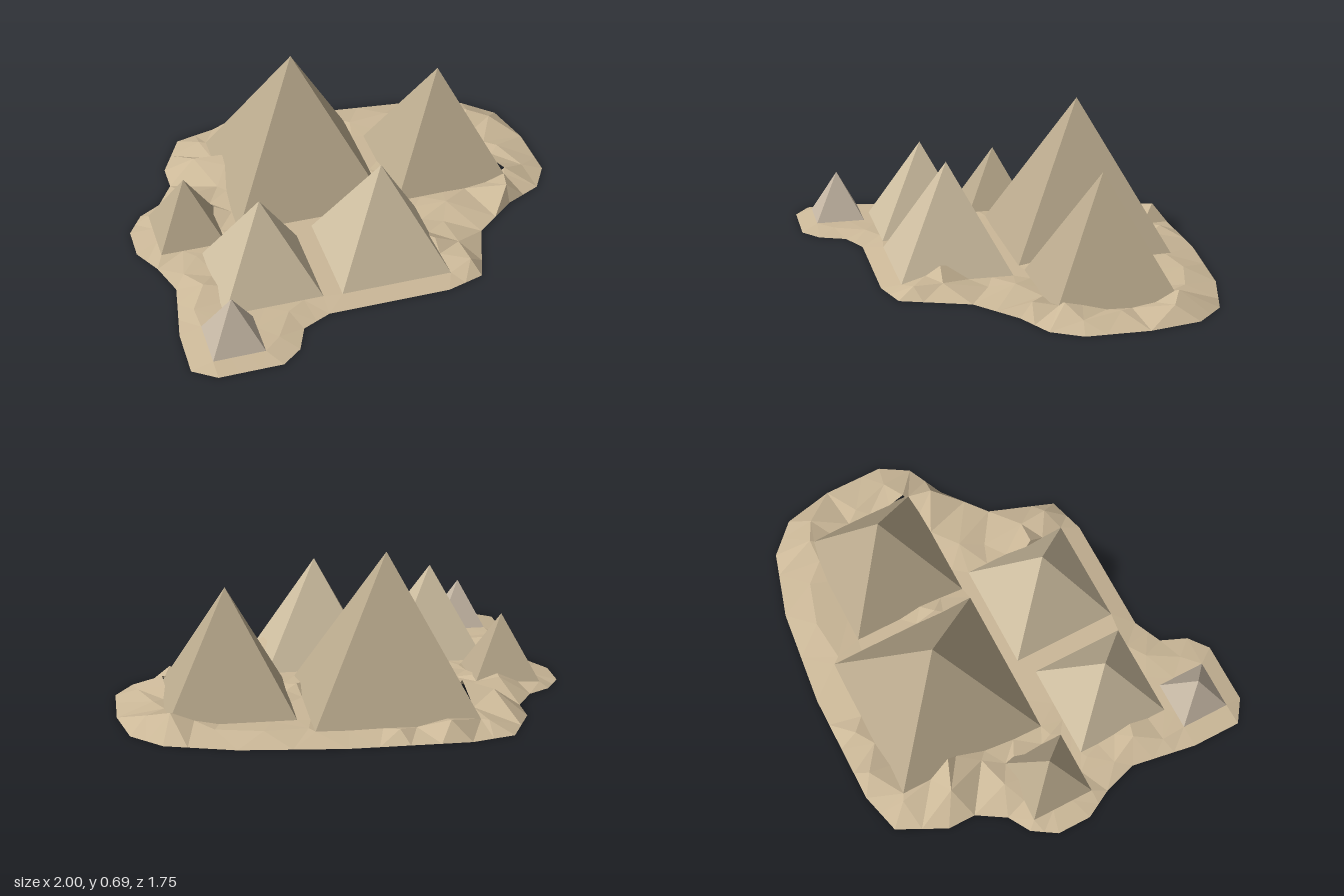
import * as THREE from 'three';

// Pyramids: x, z, half base width, height, colour
const PYRAMIDS = [
  { name: 'greatPyramid', x: -0.17, z: -0.375, half: 0.37, h: 0.69, color: 0xbbab8e },
  { name: 'secondPyramid', x: 0.52, z: -0.305, half: 0.287, h: 0.54, color: 0xbbab8e },
  { name: 'frontPyramid', x: 0.055, z: 0.285, half: 0.262, h: 0.49, color: 0xd0c0a2 },
  { name: 'frontLeftPyramid', x: -0.5, z: 0.305, half: 0.232, h: 0.43, color: 0xd0c0a2 },
  { name: 'sidePyramid', x: -0.75, z: -0.105, half: 0.16, h: 0.305, color: 0xbbab8e },
  { name: 'cornerPyramid', x: -0.72, z: 0.678, half: 0.125, h: 0.24, color: 0xc6b8a5 },
];

// Rim of the sand, x and z, all at ground level
const RIM = [
  [-0.45, -0.88], [0.07, -0.88], [0.52, -0.83], [0.82, -0.74], [0.95, -0.61], [1, -0.38], [1, -0.1],
  [0.92, 0.03], [0.75, 0.11], [0.55, 0.27], [0.44, 0.57], [0.27, 0.62], [-0.28, 0.62], [-0.41, 0.68],
  [-0.46, 0.8], [-0.55, 0.87], [-0.83, 0.87], [-0.93, 0.8], [-0.93, 0.57], [-0.88, 0.27], [-0.93, 0.11],
  [-1, -0.02], [-1, -0.18], [-0.93, -0.29], [-0.83, -0.35], [-0.75, -0.48], [-0.75, -0.61], [-0.64, -0.83],
];

// Dunes and hollows inside the rim: x, z, height
const DUNES = [
  [0.29, 0.36, 0.09], [0.4, 0.37, 0.05], [0.41, 0.5, 0.05], [0.4, 0.17, 0.015], [0.45, 0.06, 0.04],
  [0.75, 0.06, 0.07], [0.79, -0.07, 0.07], [0.9, -0.12, 0.03], [0.84, -0.3, 0.035], [0.88, -0.52, 0.055],
  [0.78, -0.57, 0.08], [0.6, -0.66, 0.03], [0.4, -0.72, 0.035], [0.21, -0.7, 0.03], [-0.16, -0.79, 0.04],
  [-0.37, -0.82, 0.08], [-0.55, -0.74, 0.04], [-0.49, -0.48, 0.13], [-0.62, -0.53, 0.1], [-0.55, -0.34, 0.055],
  [-0.7, -0.3, 0.07], [-0.6, -0.2, 0.05], [-0.58, 0, 0.03], [-0.75, 0.1, 0.025], [-0.83, 0.2, 0.02],
  [-0.77, 0.33, 0.05], [-0.84, 0.45, 0.025], [-0.45, 0.58, 0.025], [-0.53, 0.72, 0.02], [0.2, -0.2, 0.05],
];

// Height the sand reaches against a pyramid face
function duneHeight(x, z) {
  let y = 0.022;
  for (const [dx, dz, dy] of DUNES) {
    y = Math.max(y, dy * Math.exp(-((x - dx) ** 2 + (z - dz) ** 2) / 0.012));
  }
  return y;
}

// Height of a pyramid's surface above a point
const faceHeight = (p, x, z) => p.h * (1 - Math.max(Math.abs(x - p.x), Math.abs(z - p.z)) / p.half);

// Rim, dunes and the contact line around each pyramid
function sandPoints() {
  const pts = [];
  RIM.forEach(([x, z], i) => {
    const [nx, nz] = RIM[(i + 1) % RIM.length];
    const n = Math.ceil(Math.hypot(nx - x, nz - z) / 0.13);
    for (let k = 0; k < n; k++) pts.push([x + (nx - x) * k / n, z + (nz - z) * k / n, 0]);
  });
  for (const d of DUNES) {
    if (PYRAMIDS.every((p) => faceHeight(p, d[0], d[1]) < d[2] - 0.01)) pts.push(d);
  }
  for (const p of PYRAMIDS) {
    const n = p.half > 0.2 ? 5 : 3;
    for (let side = 0; side < 4; side++) {
      const c = Math.round(Math.cos(side * Math.PI / 2)), s = Math.round(Math.sin(side * Math.PI / 2));
      for (let k = 0; k < n; k++) {
        const t = -1 + 2 * k / n;
        const u = (c - s * t) * p.half, v = (s + c * t) * p.half;
        const y = duneHeight(p.x + u, p.z + v), f = 1 - y / p.h;
        pts.push([p.x + u * f, p.z + v * f, y]);
      }
    }
  }
  // A tiny offset avoids ambiguous triangulation
  return pts.map(([x, z, y], i) => [x + 2e-4 * Math.sin(i * 7.3), z + 2e-4 * Math.sin(i * 3.7), y]);
}

// Delaunay triangulation in plan
function triangulate(points) {
  const n = points.length;
  const all = [...points, [-30, -20, 0], [30, -20, 0], [0, 40, 0]];
  const circle = (a, b, c) => {
    const [ax, ay] = all[a];
    const bx = all[b][0] - ax, by = all[b][1] - ay, cx = all[c][0] - ax, cy = all[c][1] - ay;
    const d = 2 * (bx * cy - by * cx), b2 = bx * bx + by * by, c2 = cx * cx + cy * cy;
    const x = (cy * b2 - by * c2) / d, y = (bx * c2 - cx * b2) / d;
    return { v: [a, b, c], x: ax + x, y: ay + y, r: x * x + y * y };
  };
  let tris = [circle(n, n + 1, n + 2)];
  for (let i = 0; i < n; i++) {
    const [px, py] = all[i];
    const edges = new Map();
    tris = tris.filter((t) => {
      if ((px - t.x) ** 2 + (py - t.y) ** 2 >= t.r) return true;
      t.v.forEach((a, k) => {
        const b = t.v[(k + 1) % 3], back = b + '_' + a;
        if (edges.has(back)) edges.delete(back);
        else edges.set(a + '_' + b, [a, b]);
      });
      return false;
    });
    for (const [a, b] of edges.values()) tris.push(circle(a, b, i));
  }
  return tris.map((t) => t.v).filter((v) => v.every((k) => k < n));
}

function insideRim(x, z) {
  let inside = false;
  RIM.forEach(([ax, az], i) => {
    const [bx, bz] = RIM[(i + 1) % RIM.length];
    if ((az > z) !== (bz > z) && x < ax + (bx - ax) * (z - az) / (bz - az)) inside = !inside;
  });
  return inside;
}

// Faceted sand sheet, left open beneath each pyramid
function makeSand() {
  const pts = sandPoints();
  const index = [];
  for (const [a, b, c] of triangulate(pts)) {
    const [x, z, y] = [0, 1, 2].map((k) => (pts[a][k] + pts[b][k] + pts[c][k]) / 3);
    const buried = PYRAMIDS.some((p) => faceHeight(p, x, z) > y + 0.012);
    if (insideRim(x, z) && !buried) index.push(a, c, b);
  }
  const geo = new THREE.BufferGeometry();
  geo.setAttribute('position', new THREE.Float32BufferAttribute(pts.flatMap(([x, z, y]) => [x, y, z]), 3));
  geo.setIndex(index);
  const flat = geo.toNonIndexed();
  flat.computeVertexNormals();
  return flat;
}

function addMesh(group, name, geometry, color) {
  const mat = new THREE.MeshStandardMaterial({ color, flatShading: true, side: THREE.DoubleSide });
  const mesh = new THREE.Mesh(geometry, mat);
  mesh.name = name;
  group.add(mesh);
  return mesh;
}

export function createModel() {
  const model = new THREE.Group();
  model.name = 'desertPyramids';
  addMesh(model, 'sand', makeSand(), 0xcbb898);
  for (const p of PYRAMIDS) {
    // Open four-sided cone with its sides square to the axes
    const geo = new THREE.ConeGeometry(p.half * Math.SQRT2, p.h, 4, 1, true).rotateY(Math.PI / 4);
    addMesh(model, p.name, geo, p.color).position.set(p.x, p.h / 2, p.z);
  }
  return model;
}
